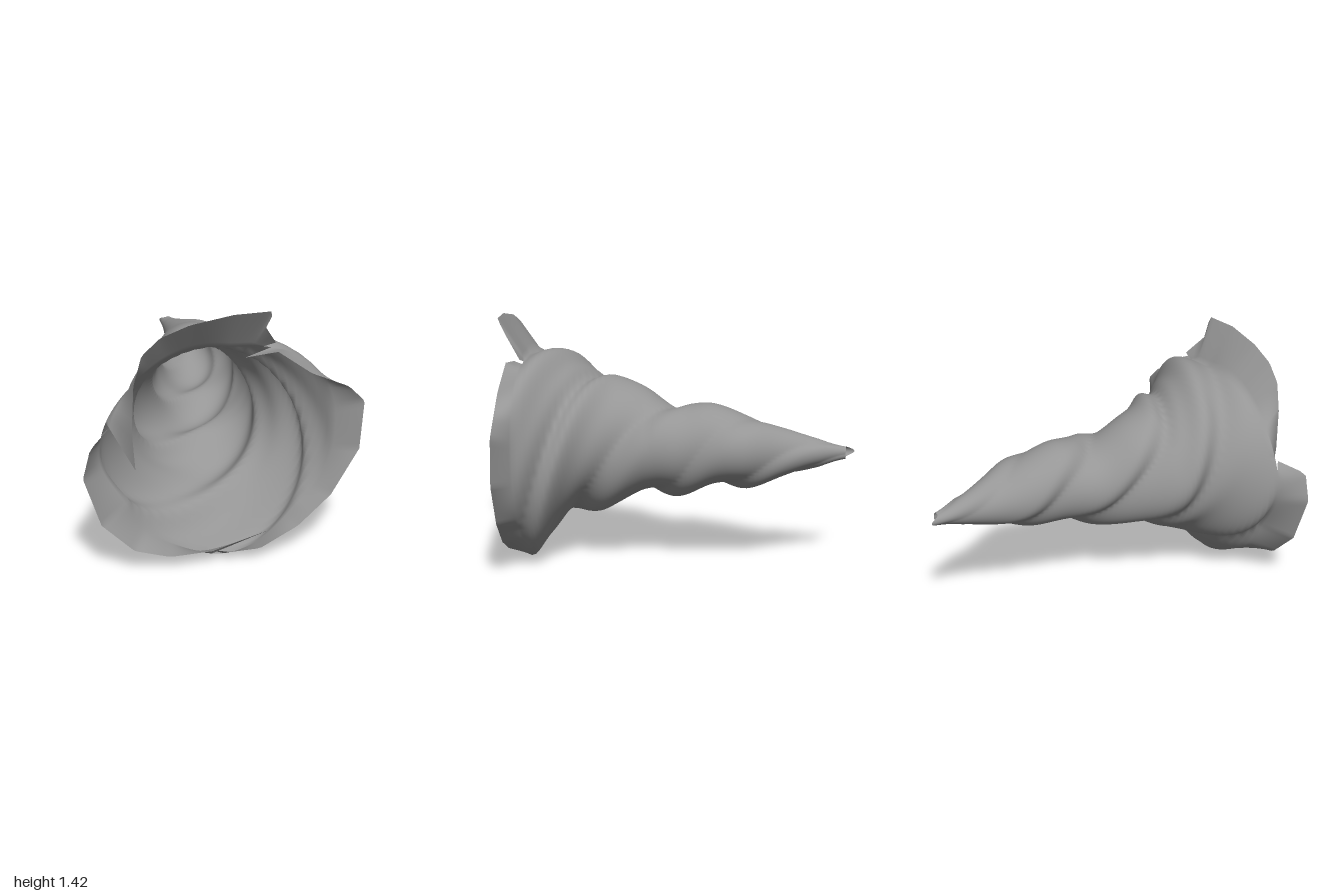
import * as THREE from 'three';

const SIDES = 180, RIM_STEPS = 8, BODY_STEPS = 72;
const TAU = Math.PI * 2;
const { degToRad, lerp, smoothstep } = THREE.MathUtils;

// Body: z, centre x, centre y, radius, fold depth
const BODY = [
  [0.85, 0, 0.65, 0.595, 0.08], [0.6, -0.02, 0.715, 0.44, 0.09], [0.4, -0.02, 0.69, 0.362, 0.1],
  [0.2, 0.02, 0.7, 0.29, 0.14], [0, 0.08, 0.668, 0.25, 0.1], [-0.2, 0.11, 0.71, 0.222, 0.09],
  [-0.4, 0.135, 0.687, 0.2, 0.09], [-0.6, 0.135, 0.68, 0.133, 0.08], [-0.8, 0.12, 0.68, 0.075, 0.08],
  [-0.95, 0.1, 0.68, 0.035, 0.08],
];

// Crests of the three helical folds: z, angle in degrees
const CRESTS = [
  [[0.86, 34], [0.66, 90], [0.39, 180], [-0.02, 270], [-0.3, 360], [-0.95, 540]],
  [[0.86, 170], [0.52, 270], [0.15, 360], [-0.07, 450], [-0.95, 680]],
  [[0.86, 270], [0.62, 360], [0.38, 450], [-0.1, 560], [-0.95, 780]],
];

// Mouth edge: place around the body in degrees, x, y, z.
// Each petal ends tucked inside the start of the next.
const RIM = [
  [15, 0.75, 0.87, 0.93], [27, 0.66, 0.96, 0.93], [45, 0.45, 1.06, 0.95], [58, 0.27, 1.19, 0.94],
  [64, 0.1, 1.17, 0.93], [68, 0.28, 1.21, 0.86], [72, 0.2, 1.33, 0.95], [75, 0.23, 1.43, 0.99],
  [88, 0.02, 1.43, 1], [105, -0.2, 1.39, 0.99], [119, -0.35, 1.33, 0.98], [129, -0.44, 1.24, 0.97],
  [146, -0.48, 1.08, 0.96], [157, -0.49, 0.83, 0.95], [162, -0.47, 0.6, 0.93], [168, -0.59, 0.83, 0.88],
  [173, -0.71, 0.77, 0.99], [185, -0.75, 0.61, 0.99], [208, -0.66, 0.33, 0.98],
  [227, -0.49, 0.16, 0.98], [243, -0.3, 0.1, 0.98], [258, -0.07, 0.1, 0.97], [266, 0.24, 0.17, 0.94],
  [272, -0.07, 0.07, 0.9], [278, 0.03, 0.07, 0.95], [287, 0.19, 0.085, 0.97], [309, 0.4, 0.19, 0.96],
  [330, 0.58, 0.35, 0.95], [354, 0.73, 0.6, 0.94],
];
// Slits between the petals, in degrees
const SLITS = [[64, 68], [162, 168], [266, 272]];

// Point on the mouth edge for a place around the body
function rimPoint(angle) {
  const degrees = (angle / TAU) * 360;
  let i = RIM.length - 1;
  for (let k = 0; k < RIM.length - 1; k++) {
    if (degrees >= RIM[k][0] && degrees < RIM[k + 1][0]) i = k;
  }
  const [from, ...a] = RIM[i];
  const [to, ...b] = RIM[(i + 1) % RIM.length];
  const t = ((degrees - from + 360) % 360) / ((to - from + 360) % 360);
  return new THREE.Vector3(...a).lerp(new THREE.Vector3(...b), t);
}

// Row of a table that z falls in, and how far along it
function locate(table, z) {
  let i = 0;
  while (i < table.length - 2 && z < table[i + 1][0]) i++;
  return [i, (table[i][0] - z) / (table[i][0] - table[i + 1][0])];
}

// Smooth lookup of the body table
function bodyAt(z) {
  const [i, t] = locate(BODY, z);
  const a = BODY[Math.max(i - 1, 0)], b = BODY[i];
  const c = BODY[i + 1], d = BODY[Math.min(i + 2, BODY.length - 1)];
  return [1, 2, 3, 4].map((k) => b[k] + 0.5 * t * (c[k] - a[k] + t * (2 * a[k] - 5 * b[k] + 4 * c[k] - d[k]
    + t * (3 * (b[k] - c[k]) + d[k] - a[k]))));
}

// Rounded crests and narrow valleys, with a lesser ridge between them near the mouth
function fold(angle, z) {
  const crests = CRESTS.map((table) => {
    const [i, t] = locate(table, z);
    return degToRad(lerp(table[i][1], table[i + 1][1], t));
  });
  crests.push(crests[0] + TAU);
  const turned = crests[0] + ((((angle - crests[0]) % TAU) + TAU) % TAU);
  let k = 0;
  while (k < 2 && turned >= crests[k + 1]) k++;
  const p = (turned - crests[k]) / (crests[k + 1] - crests[k]);
  const w = p < 0.36 ? (p / 0.36) * 0.5 : 0.5 + ((p - 0.36) / 0.64) * 0.5;
  const ridge = 0.2 * smoothstep(z, 0.2, 0.5) * Math.cos(4 * Math.PI * p);
  return 1.6 * Math.pow(Math.abs(Math.cos(Math.PI * w)), 1.3) - 0.8 + ridge;
}

function bodyPoint(angle, z) {
  const [cx, cy, radius, depth] = bodyAt(z);
  const r = radius * (1 + depth * fold(angle, z));
  return new THREE.Vector3(cx + r * Math.cos(angle), cy + r * Math.sin(angle), z);
}

function hornGeometry() {
  const positions = [], indices = [];
  const rows = RIM_STEPS + BODY_STEPS;
  for (let row = 0; row <= rows; row++) {
    for (let s = 0; s < SIDES; s++) {
      const angle = (s / SIDES) * TAU;
      let p;
      if (row < RIM_STEPS) {
        // Straight flare from the body out to the petals
        p = bodyPoint(angle, 0.85).lerp(rimPoint(angle), 1 - row / RIM_STEPS);
      } else {
        const t = (row - RIM_STEPS) / BODY_STEPS;
        p = bodyPoint(angle, 0.85 - 1.8 * t);
        // Ragged open tip
        if (row === rows) p.z -= 0.05 * Math.max(0, -Math.cos(angle)) ** 4;
      }
      positions.push(p.x, p.y, p.z);
    }
  }
  for (let row = 0; row < rows; row++) {
    for (let s = 0; s < SIDES; s++) {
      const middle = ((s + 0.5) / SIDES) * 360;
      if (row < RIM_STEPS && SLITS.some(([from, to]) => middle > from && middle < to)) continue;
      const a = row * SIDES + s, b = row * SIDES + ((s + 1) % SIDES);
      const c = a + SIDES, d = b + SIDES;
      indices.push(a, c, b, b, c, d);
    }
  }
  const geometry = new THREE.BufferGeometry();
  geometry.setAttribute('position', new THREE.Float32BufferAttribute(positions, 3));
  geometry.setIndex(indices);
  geometry.computeVertexNormals();
  return geometry;
}

export function createModel() {
  const group = new THREE.Group();
  group.name = 'twistedFunnel';
  const material = new THREE.MeshStandardMaterial({ color: 0x969696, side: THREE.DoubleSide });
  const shell = new THREE.Mesh(hornGeometry(), material);
  shell.name = 'twistedShell';
  group.add(shell);
  return group;
}
